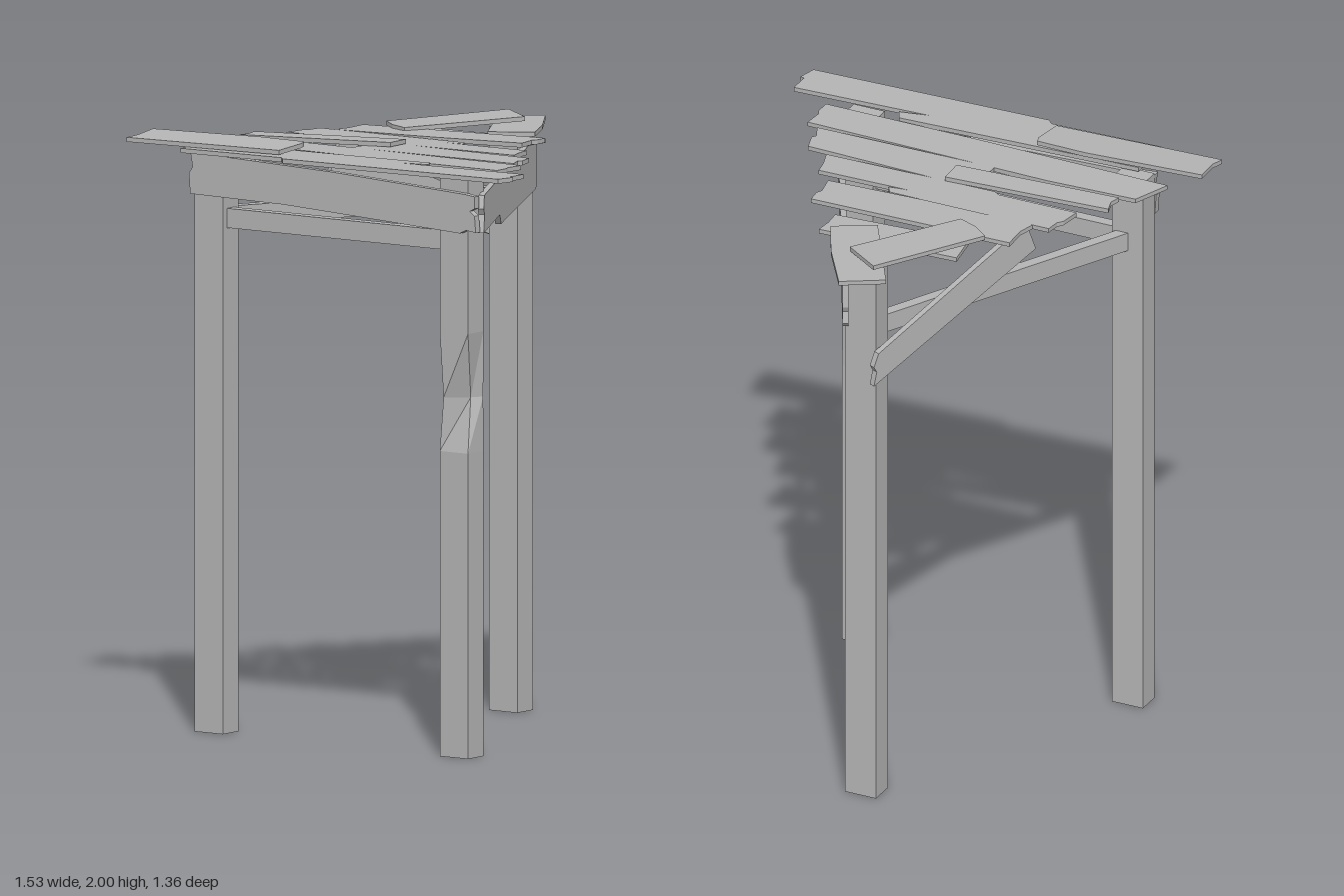
import * as THREE from 'three';

export function createModel() {
  const model = new THREE.Group();
  const wood = new THREE.MeshStandardMaterial({ color: 0xb4b4b4 });
  wood.name = 'weathered wood grey';
  wood.flatShading = true;

  const add = (name, geometry) => {
    const mesh = new THREE.Mesh(geometry, wood);
    mesh.name = name;
    model.add(mesh);
    return mesh;
  };
  const extrude = (points, depth) => new THREE.ExtrudeGeometry(
    new THREE.Shape(points.map(([x, y]) => new THREE.Vector2(x, y))),
    { depth, bevelEnabled: false });

  // Upright board: outline of [distance, height], running from a to b in plan [x, z]
  function uprightBoard(name, a, b, outline, thickness) {
    const geometry = extrude(outline, thickness).translate(0, 0, -thickness / 2);
    const board = add(name, geometry);
    board.position.set(a[0], 0, a[1]);
    board.rotation.y = Math.atan2(a[1] - b[1], b[0] - a[0]);
  }

  // Deck plank: outline of [x, z], bottom at height y, tilted by slopes along x and z
  function deckPlank(name, y, outline, slopeX = 0, slopeZ = 0) {
    const geometry = extrude(outline.map(([x, z]) => [x, -z]), 0.015).rotateX(-Math.PI / 2);
    const p = geometry.attributes.position;
    const [x0, z0] = outline[0];
    for (let i = 0; i < p.count; i++) {
      p.setY(i, p.getY(i) + y + slopeX * (p.getX(i) - x0) + slopeZ * (p.getZ(i) - z0));
    }
    add(name, geometry);
  }

  // Legs
  const legGeometry = () => new THREE.BoxGeometry(0.115, 1.95, 0.087, 1, 4, 1).translate(0, 0.975, 0);
  add('frontRightLeg', legGeometry()).position.set(-0.522, 0, 0.478);
  add('backLeg', legGeometry()).position.set(-0.028, 0, -0.503);

  // Chipped leg: the middle ring is pinched inwards
  const chipped = legGeometry();
  const p = chipped.attributes.position;
  const levels = [0, 1.02, 1.2, 1.42, 1.95];
  for (let i = 0; i < p.count; i++) {
    const level = Math.round(p.getY(i) / 1.95 * 4);
    const right = p.getX(i) > 0, front = p.getZ(i) > 0;
    p.setY(i, levels[level]);
    if (level === 2) {
      p.setX(i, right ? (front ? 0.028 : 0.05) : -0.043);
      p.setZ(i, front ? (right ? -0.013 : 0.042) : -0.053);
    }
  }
  add('frontLeftChippedLeg', chipped).position.set(0.478, 0, 0.478);

  // Rails between the legs
  const rail = length => [[0, 1.69], [length, 1.69], [length, 1.755], [0, 1.755]];
  uprightBoard('frontRail', [-0.48, 0.478], [0.44, 0.478], rail(0.92), 0.04);
  uprightBoard('sideRail', [-0.51, 0.45], [-0.04, -0.48], rail(1.042), 0.04);

  // Broken boards nailed outside the legs
  uprightBoard('frontApron', [0, 0.534], [1, 0.534], [
    [-0.58, 1.8], [-0.2, 1.795], [0.1, 1.78], [0.52, 1.758], [0.545, 1.77], [0.585, 1.765],
    [0.58, 1.82], [0.56, 1.835], [0.58, 1.845], [0.58, 1.885], [0.54, 1.89], [0, 1.92],
    [-0.46, 1.935], [-0.58, 1.945], [-0.57, 1.89], [-0.585, 1.87],
  ], 0.025);
  uprightBoard('sideApron', [0.58, 0.51], [0.01, -0.58], [
    [0, 1.76], [0.37, 1.77], [0.4, 1.735], [1.21, 1.74], [1.23, 1.76], [1.22, 1.8],
    [1.23, 1.82], [1.22, 1.91], [0.6, 1.9], [0.01, 1.885], [0, 1.84], [0.012, 1.82],
  ], 0.02);
  uprightBoard('fallenBrace', [-0.085, -0.575], [-0.37, 0.06], [
    [0, 1.55], [0.69, 1.84], [0.65, 1.945], [0.02, 1.665], [0, 1.62], [0.012, 1.6],
  ], 0.022);

  // Deck planks from front to back
  deckPlank('frontPlank', 1.955, [
    [-0.53, 0.5], [0.34, 0.465], [0.36, 0.505], [0.26, 0.525], [0.75, 0.505], [0.75, 0.58],
    [0.765, 0.585], [0.75, 0.65], [-0.11, 0.675], [-0.13, 0.655], [-0.53, 0.67],
  ]);
  deckPlank('frontLoosePlank', 1.982, [
    [-0.765, 0.5], [-0.35, 0.465], [-0.17, 0.47], [-0.16, 0.5], [-0.165, 0.62], [-0.765, 0.65],
    [-0.755, 0.6],
  ], 0, -0.08);
  deckPlank('secondPlank', 1.95, [
    [-0.62, 0.3], [-0.3, 0.288], [0.6, 0.31], [0.595, 0.38], [0.605, 0.4], [0.605, 0.455],
    [0.05, 0.452], [-0.67, 0.437],
  ]);
  deckPlank('thirdPlank', 1.95, [
    [-0.1, 0.145], [0, 0.135], [0.52, 0.155], [0.54, 0.22], [0.53, 0.235], [0.555, 0.29],
    [-0.1, 0.295],
  ]);
  deckPlank('thirdLoosePlank', 1.953, [
    [-0.575, 0.19], [-0.34, 0.165], [0, 0.13], [0.005, 0.225], [-0.57, 0.28], [-0.56, 0.24],
  ], 0.025);
  deckPlank('fourthPlank', 1.95, [
    [-0.46, -0.02], [0.13, -0.02], [0.15, 0.012], [0.08, 0.02], [0.41, 0.015], [0.42, 0.07],
    [0.44, 0.13], [-0.18, 0.14], [-0.2, 0.125], [-0.49, 0.125], [-0.48, 0.05], [-0.465, 0.03],
  ]);
  deckPlank('fifthPlank', 1.95, [
    [-0.39, -0.17], [0.33, -0.2], [0.335, -0.15], [0.325, -0.13], [0.34, -0.055], [0, -0.03],
    [-0.4, -0.02], [-0.385, -0.08],
  ], 0.015);
  deckPlank('sixthPlank', 1.935, [
    [-0.27, -0.32], [0.23, -0.34], [0.225, -0.28], [0.23, -0.22], [-0.25, -0.19],
  ]);
  deckPlank('backPlank', 1.953, [
    [-0.15, -0.6], [-0.015, -0.68], [0.11, -0.49], [0.19, -0.335], [0.13, -0.295],
    [0.055, -0.255],
  ]);
  deckPlank('backLoosePlank', 1.98, [
    [-0.09, -0.575], [0.045, -0.48], [-0.18, -0.11], [-0.25, -0.14], [-0.31, -0.19],
  ], 0, -0.035);

  return model;
}
